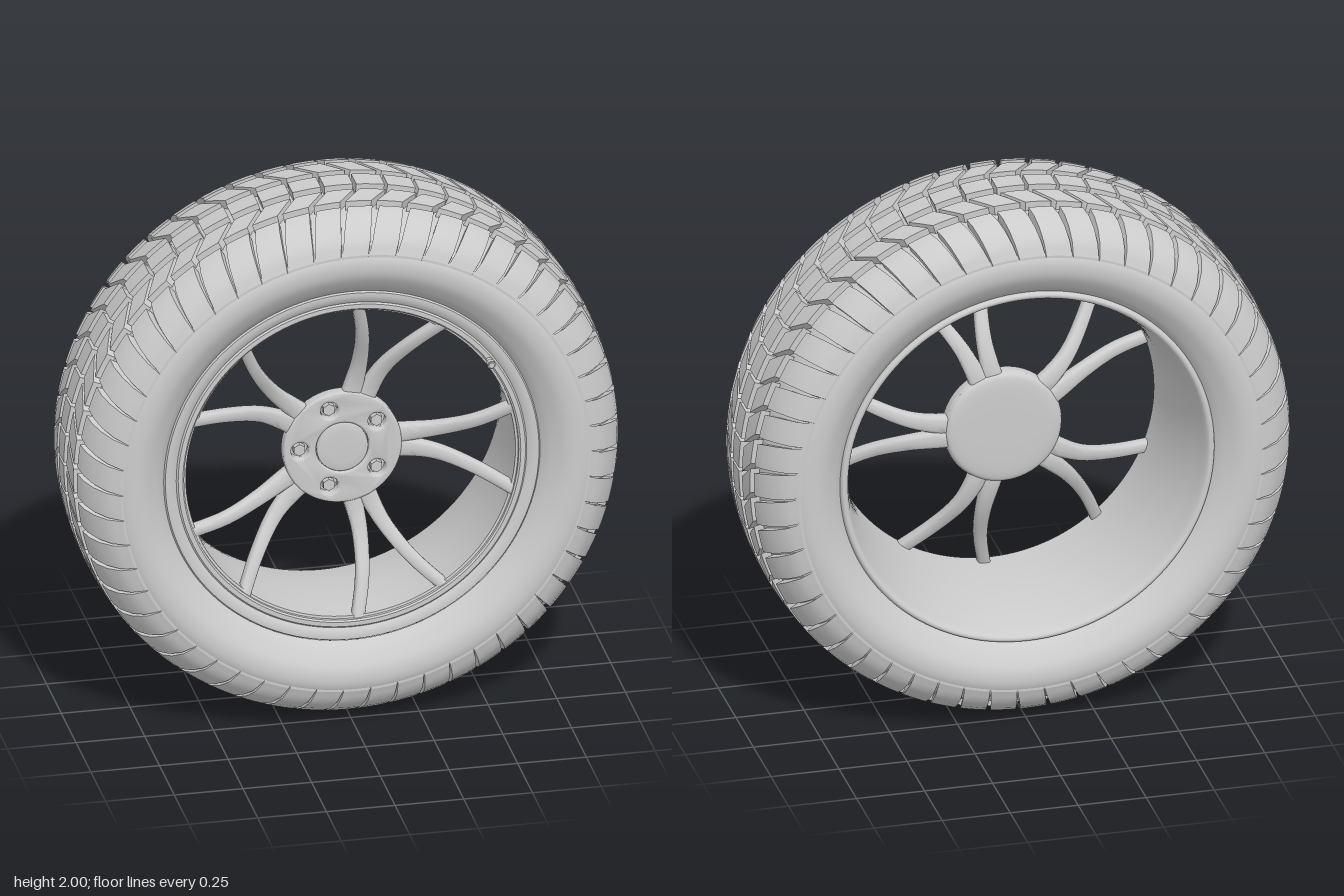
import * as THREE from 'three';
import { mergeGeometries, toCreasedNormals } from 'three/addons/utils/BufferGeometryUtils.js';

const BLOCKS = 54;
const grey = new THREE.MeshStandardMaterial({ color: 0xcccccc });
const greyDouble = new THREE.MeshStandardMaterial({ color: 0xcccccc, side: THREE.DoubleSide });

function mesh(name, geometry, material = grey) {
  const m = new THREE.Mesh(geometry, material);
  m.name = name;
  return m;
}

const toVectors = (pts) => pts.map(([a, b]) => new THREE.Vector2(a, b));

// Surface of revolution about the axle (z) from [radius, z] points
function revolve(points, segments = 120) {
  return new THREE.LatheGeometry(points, segments).rotateX(Math.PI / 2);
}

// Cylinder lying along the axle between two depths
function disc(radius, z0, z1, sides = 40) {
  return new THREE.CylinderGeometry(radius, radius, z1 - z0, sides)
    .rotateX(Math.PI / 2).translate(0, 0, (z0 + z1) / 2);
}

// Value of a list of [a, b] points at fraction t
function along(list, t) {
  const f = t * (list.length - 1);
  const i = Math.min(Math.floor(f), list.length - 2);
  return list[i].map((v, k) => THREE.MathUtils.lerp(v, list[i + 1][k], f - i));
}

// One tread block: a box bent round the tyre, following a [radius, z] profile,
// skewed across its width and with tapering gaps to its neighbours
function treadBlock({ profile, side, skew, gap }, index) {
  const rows = (profile.length - 1) * 2;
  const g = new THREE.BoxGeometry(1, 1, 1, 3, 1, rows);
  const p = g.attributes.position;
  const step = (Math.PI * 2) / BLOCKS;
  for (let i = 0; i < p.count; i++) {
    const t = 0.5 + side * p.getZ(i);
    let [r, z] = along(profile, t);
    const width = step - THREE.MathUtils.lerp(gap[0], gap[1], t);
    const a = index * step + p.getX(i) * width - THREE.MathUtils.lerp(skew[0], skew[1], t);
    if (p.getY(i) < 0) r -= 0.055;
    p.setXYZ(i, r * Math.sin(a), r * Math.cos(a), side * z);
  }
  g.computeVertexNormals();
  return g;
}

function treadRib(spec) {
  const blocks = [];
  for (let i = 0; i < BLOCKS; i++) blocks.push(treadBlock(spec, i));
  return mergeGeometries(blocks);
}

// One curved spoke, bending away from its pair's centre line and rising to the rim
function spoke(side) {
  const path = new THREE.CatmullRomCurve3([
    [0.14, 0.022, 0.083], [0.24, 0.03, 0.088], [0.34, 0.046, 0.115],
    [0.47, 0.093, 0.178], [0.61, 0.172, 0.238],
  ].map(([x, y, z]) => new THREE.Vector3(x, side * y, z)));
  const g = new THREE.CylinderGeometry(1, 1, 1, 16, 20);
  const p = g.attributes.position;
  const square = (v) => Math.sign(v) * Math.pow(Math.abs(v), 0.6);
  for (let i = 0; i < p.count; i++) {
    const t = THREE.MathUtils.clamp(p.getY(i) + 0.5, 0, 1);
    const c = path.getPoint(t);
    const d = path.getTangent(t);
    const len = Math.hypot(d.x, d.y);
    const halfWidth = 0.023 + 0.02 * Math.pow(1 - t, 2);
    const w = square(p.getX(i)) * halfWidth;
    const depth = square(p.getZ(i)) * 0.026;
    p.setXYZ(i, c.x + (d.y / len) * w, c.y - (d.x / len) * w, c.z + depth);
  }
  return toCreasedNormals(g, 0.9);
}

export function createModel() {
  const model = new THREE.Group();
  model.name = 'wheel';
  const wheel = new THREE.Group();
  wheel.name = 'wheelAssembly';
  wheel.position.y = 1;
  model.add(wheel);

  // Tyre body: groove floor, shoulders and bulging sidewalls, mirrored in z
  const half = [[0.96, 0.1], [0.953, 0.19], [0.925, 0.26], [0.885, 0.312], [0.858, 0.333],
    [0.82, 0.345], [0.77, 0.338], [0.72, 0.306], [0.697, 0.284], [0.685, 0.268]];
  const outline = [...half.map(([r, z]) => [r, -z]).reverse(), [0.961, 0], ...half];
  wheel.add(mesh('tyreBody', revolve(new THREE.SplineCurve(toVectors(outline)).getPoints(76))));

  // Tread: centre rib, slanted middle ribs and shoulder blocks
  wheel.add(mesh('centreRib', treadRib({
    profile: [[1, -0.043], [1, 0.043]], side: 1, skew: [0, 0], gap: [0.012, 0.012],
  })));
  for (const side of [1, -1]) {
    const end = side > 0 ? 'Front' : 'Back';
    wheel.add(mesh('middleRib' + end, treadRib({
      profile: [[0.998, 0.08], [0.991, 0.165]], side, skew: [0, 0.07], gap: [0.02, 0.02],
    })));
    wheel.add(mesh('shoulderBlocks' + end, treadRib({
      profile: [[0.985, 0.197], [0.972, 0.238], [0.945, 0.281], [0.905, 0.32], [0.856, 0.338]],
      side, skew: [0.07, 0.12], gap: [0.026, 0.004],
    })));
  }

  // Rim: stepped front lip, barrel flaring to the back, rounded back lip
  const frontLip = [[0.687, 0.262], [0.68, 0.275], [0.665, 0.276], [0.645, 0.268], [0.638, 0.262],
    [0.632, 0.268], [0.615, 0.268], [0.609, 0.262], [0.609, 0.25], [0.6, 0.248], [0.6, 0.2]];
  wheel.add(mesh('rimFrontLip', toCreasedNormals(revolve(toVectors(frontLip)), 0.6), greyDouble));
  const barrel = new THREE.SplineCurve(toVectors([[0.6, 0.2], [0.602, 0.1], [0.61, -0.02],
    [0.627, -0.14], [0.647, -0.23], [0.66, -0.275], [0.672, -0.288], [0.684, -0.284], [0.69, -0.265]]));
  wheel.add(mesh('rimBarrel', revolve(barrel.getPoints(40)), greyDouble));

  // Hub face with five lug holes and a centre opening
  const face = new THREE.Shape().absarc(0, 0, 0.208, 0, Math.PI * 2);
  const hole = (x, y, r) => face.holes.push(new THREE.Path().absarc(x, y, r, 0, Math.PI * 2, true));
  hole(0, 0, 0.104);
  const lugs = [];
  for (let i = 0; i < 5; i++) {
    const a = Math.PI / 5 + (i * Math.PI * 2) / 5;
    const x = 0.155 * Math.cos(a), y = 0.155 * Math.sin(a);
    hole(x, y, 0.04);
    lugs.push(disc(0.023, 0.07, 0.106, 6).translate(x, y, 0));
  }
  const hub = new THREE.ExtrudeGeometry(face, {
    depth: 0.034, bevelThickness: 0.008, bevelSize: 0.008, bevelSegments: 3, curveSegments: 40,
  }).translate(0, 0, 0.073);
  wheel.add(mesh('hubFace', toCreasedNormals(hub, 0.6)));
  wheel.add(mesh('lugNuts', toCreasedNormals(mergeGeometries(lugs), 0.6)));
  wheel.add(mesh('hubCore', disc(0.205, 0.06, 0.08, 64)));

  // Centre cap, slightly domed
  wheel.add(mesh('centreCap', revolve(toVectors(
    [[0.094, 0.07], [0.094, 0.11], [0.09, 0.115], [0.06, 0.117], [0, 0.118]]), 48)));

  // Domed back of the hub
  const back = new THREE.SplineCurve(toVectors(
    [[0, 0.042], [0.12, 0.043], [0.185, 0.047], [0.21, 0.058], [0.216, 0.085]]));
  wheel.add(mesh('hubBack', revolve(back.getPoints(24), 64), greyDouble));

  // Five pairs of spokes
  for (let i = 0; i < 5; i++) {
    const pair = new THREE.Group();
    pair.name = 'spokePair' + (i + 1);
    pair.rotation.z = (i * Math.PI * 2) / 5;
    for (const side of [1, -1]) pair.add(mesh(side > 0 ? 'spokeA' : 'spokeB', spoke(side)));
    wheel.add(pair);
  }

  // Valve stem on the front edge of the rim
  const valve = mergeGeometries([disc(0.011, 0.22, 0.315, 14), disc(0.015, 0.29, 0.31, 14)]);
  const stem = mesh('valveStem', valve);
  stem.position.set(0.5, 0.365, 0);
  wheel.add(stem);

  return model;
}
